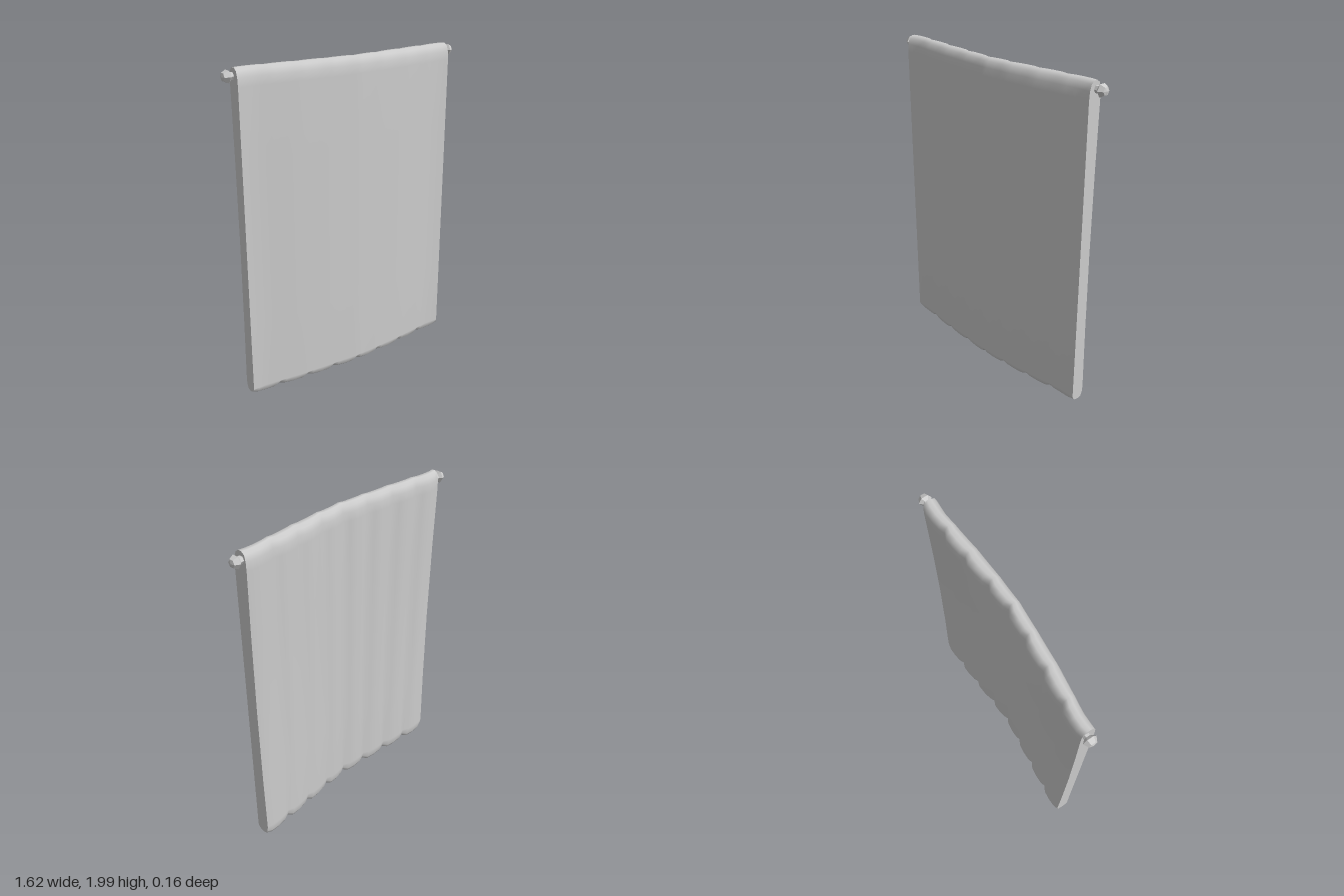
import * as THREE from 'three';

const grey = new THREE.MeshStandardMaterial({ color: 0xcccccc });
grey.name = 'cloth grey';

// Piecewise linear lookup through [x, value] pairs
function sample(points, x) {
  for (let i = 1; i < points.length; i++) {
    const [x0, v0] = points[i - 1], [x1, v1] = points[i];
    if (x <= x1) return v0 + (v1 - v0) * (x - x0) / (x1 - x0);
  }
  return points[points.length - 1][1];
}

// Plan outline: smooth bowed front, and the crests of the folds behind
const front = [[-0.745, 0.015], [-0.65, 0.016], [-0.4, 0.05], [-0.2, 0.066], [0, 0.08],
  [0.18, 0.075], [0.36, 0.065], [0.65, 0.035], [0.74, 0.04]];
const back = [[-0.745, -0.088], [-0.56, -0.073], [-0.37, -0.052], [-0.18, -0.032], [0, -0.014],
  [0.17, -0.024], [0.365, -0.044], [0.55, -0.055], [0.74, -0.063]];
const folds = back.map((p) => p[0]);

// Section of the panel: [depth from back 0 to front 1, height]
const section = [[0.95, 0.03], [1, 0.06], [1, 0.5], [1, 1], [1, 1.5], [1, 1.9], [0.96, 1.95],
  [0.83, 1.985], [0.6, 2], [0.35, 2], [0.13, 1.985], [0.03, 1.95], [0, 1.9], [0, 1.5], [0, 1],
  [0, 0.5], [0, 0.09], [0.06, 0.04], [0.2, 0.015], [0.45, 0.008], [0.75, 0.014]];

// Columns across the panel, with a groove between neighbouring folds
function makeColumns() {
  const columns = [];
  for (let f = 0; f < folds.length - 1; f++) {
    for (const [t, groove] of [[0, 1], [0.2, 0.3], [0.5, 0], [0.8, 0.05]]) {
      columns.push([folds[f] + t * (folds[f + 1] - folds[f]), groove]);
    }
  }
  columns.push([folds[folds.length - 1], 0.6]);
  return columns.map(([x, groove]) => section.map(([d, y]) => {
    const sag = 0.018 * Math.abs(x) * Math.sin(Math.PI * y / 2);
    const zBack = sample(back, x) + 0.018 * groove + sag;
    const zFront = sample(front, x);
    const lift = y < 0.05 ? 0.02 * groove : 0;
    return [x, y + lift, zBack + d * (zFront - zBack)];
  }));
}

function makePanel() {
  const columns = makeColumns(), n = section.length;
  const positions = columns.flat(2), index = [];
  for (let i = 0; i < columns.length - 1; i++) {
    for (let j = 0; j < n; j++) {
      const k = (j + 1) % n;
      const a = i * n + j, b = a + n, c = (i + 1) * n + k, d = i * n + k;
      index.push(a, b, c, a, c, d);
    }
  }
  // Flat side edges, with their own vertices to keep the corner sharp
  for (const [loop, isLeft] of [[columns[0], false], [columns[columns.length - 1], true]]) {
    const start = positions.length / 3;
    positions.push(...loop.flat());
    const middle = loop.reduce((s, p) => s + p[2] / n, 0);
    positions.push(loop[0][0], 1, middle);
    for (let j = 0; j < n; j++) {
      const a = start + j, b = start + (j + 1) % n;
      if (isLeft) index.push(start + n, b, a);
      else index.push(start + n, a, b);
    }
  }
  const geometry = new THREE.BufferGeometry();
  geometry.setAttribute('position', new THREE.Float32BufferAttribute(positions, 3));
  geometry.setIndex(index);
  geometry.computeVertexNormals();
  return geometry;
}

// Faceted knob pointing along +y before it is turned sideways
function makeKnob() {
  const profile = [[0, -0.04], [0.022, -0.04], [0.022, 0.018], [0.039, 0.034], [0.024, 0.062], [0, 0.068]]
    .map(([r, h]) => new THREE.Vector2(r, h));
  const geometry = new THREE.LatheGeometry(profile, 6).toNonIndexed();
  geometry.computeVertexNormals();
  return geometry;
}

export function createModel() {
  const model = new THREE.Group();
  model.name = 'hangingBanner';

  const panel = new THREE.Mesh(makePanel(), grey);
  panel.name = 'clothPanel';
  model.add(panel);

  const knobGeometry = makeKnob();
  for (const [name, side, z] of [['leftRodKnob', 1, -0.016], ['rightRodKnob', -1, -0.042]]) {
    const knob = new THREE.Mesh(knobGeometry, grey);
    knob.name = name;
    knob.position.set(side * 0.74, 1.954, z);
    knob.rotation.z = -side * Math.PI / 2;
    model.add(knob);
  }
  return model;
}
